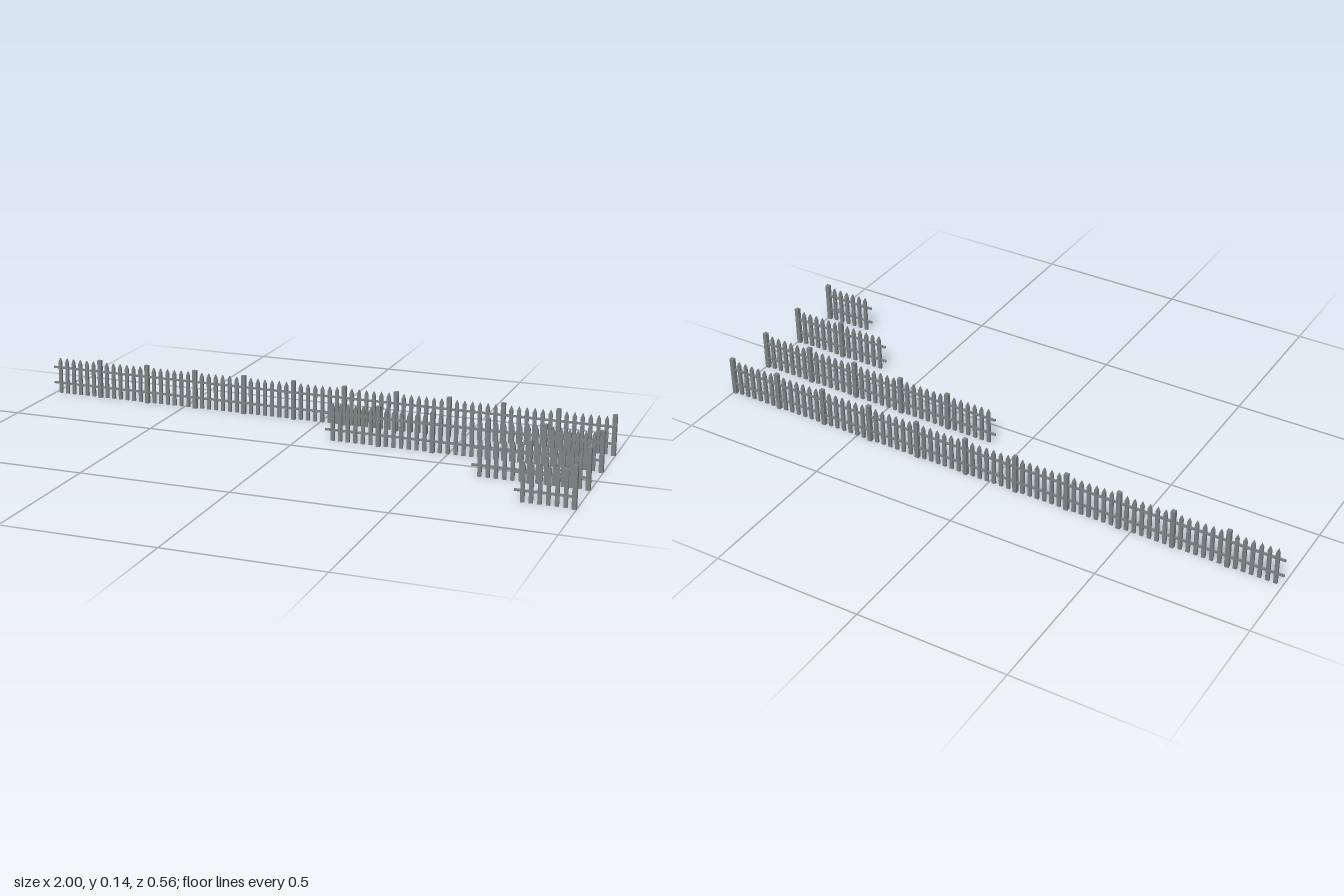
import * as THREE from 'three';

const PITCH = 0.1814;  // length of one fence section
const POST = 0.014, POST_H = 0.135;
const PICKETS = 6, PICKET_W = 0.012, PICKET_D = 0.008, PICKET_H = 0.128;

export function createModel() {
  const model = new THREE.Group();
  model.name = 'fenceSet';
  const material = new THREE.MeshStandardMaterial({ color: 0x7c8583, flatShading: true });

  const postGeo = new THREE.BoxGeometry(POST, POST_H, POST).translate(0, POST_H / 2, 0);
  const railGeo = new THREE.BoxGeometry(PITCH, 0.007, 0.006);

  // Flat board with a pointed top
  const w = PICKET_W / 2;
  const outline = new THREE.Shape([
    [-w, 0.002], [w, 0.002], [w, PICKET_H - 0.014], [0, PICKET_H], [-w, PICKET_H - 0.014],
  ].map(([x, y]) => new THREE.Vector2(x, y)));
  const picketGeo = new THREE.ExtrudeGeometry(outline, { depth: PICKET_D, bevelEnabled: false });
  picketGeo.translate(0, 0, -PICKET_D / 2);

  const add = (parent, name, geo, x, y = 0) => {
    const mesh = new THREE.Mesh(geo, material);
    mesh.name = name;
    mesh.position.set(x, y, 0);
    parent.add(mesh);
  };

  // One section: post at its +x end, two rails and six pickets
  const makeSection = () => {
    const section = new THREE.Group();
    section.name = 'fenceSection';
    add(section, 'post', postGeo, 0);
    add(section, 'lowerRail', railGeo, -PITCH / 2, 0.038);
    add(section, 'upperRail', railGeo, -PITCH / 2, 0.094);
    for (let i = 1; i <= PICKETS; i++) {
      add(section, 'picket', picketGeo, -PITCH * i / (PICKETS + 1));
    }
    return section;
  };

  // Four parallel fences of different lengths, flush at the +x end
  [11, 5, 2, 1].forEach((count, row) => {
    const fence = new THREE.Group();
    fence.name = `fenceOf${count}`;
    fence.position.z = (row - 1.5) * 0.1818;
    for (let i = 0; i < count; i++) {
      const section = makeSection();
      section.position.x = 1 - POST / 2 - i * PITCH;
      fence.add(section);
    }
    model.add(fence);
  });
  return model;
}
